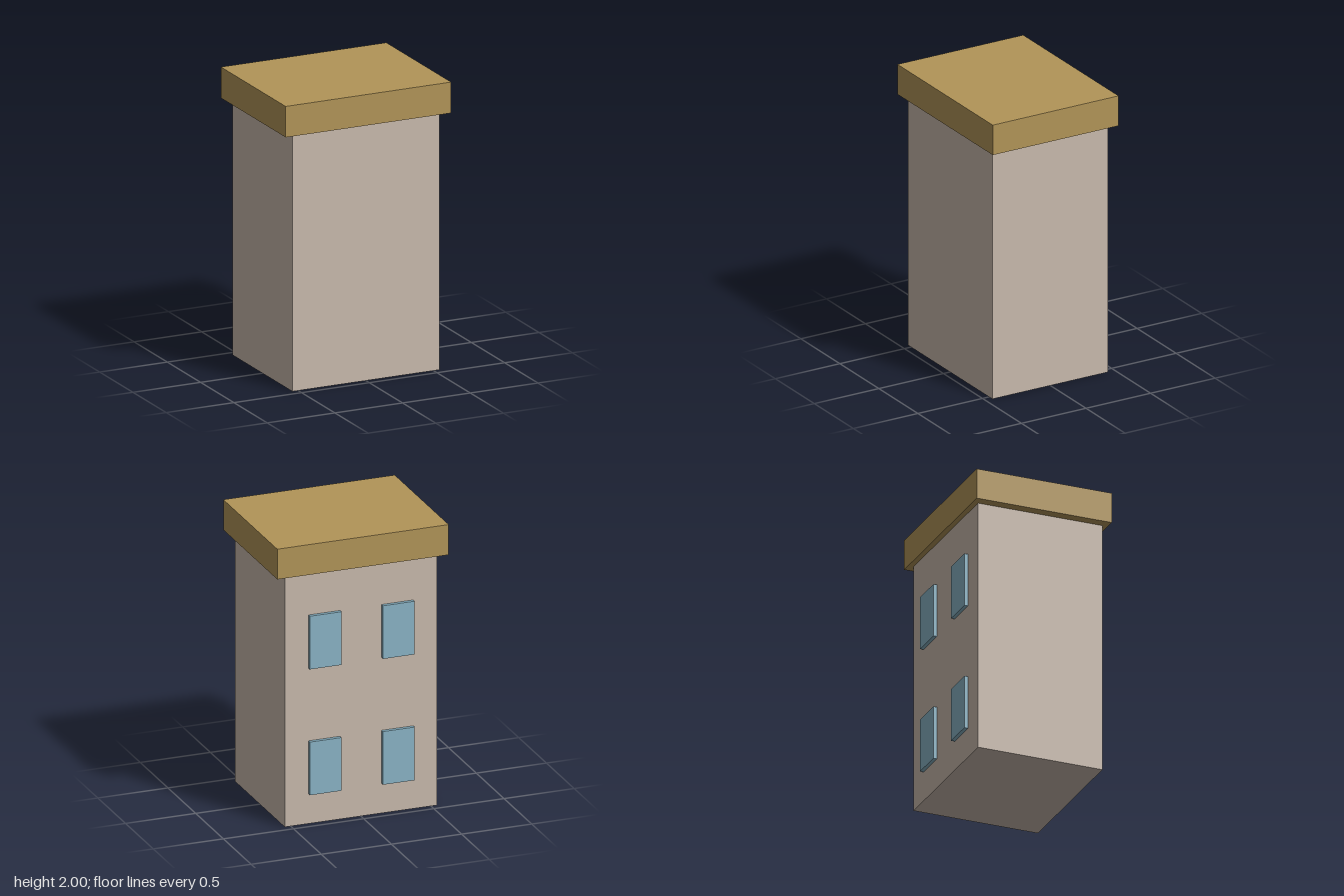
import * as THREE from 'three';

export function createModel() {
  const model = new THREE.Group();
  model.name = 'towerHouse';

  const material = (name, color) => {
    const m = new THREE.MeshStandardMaterial({ color });
    m.name = name;
    return m;
  };
  const wallPaint = material('wall beige', 0xc9baad);
  const roofPaint = material('roof ochre', 0xb29558);
  const glassPaint = material('window blue', 0x8ab4c6);

  const addBox = (name, paint, size, position) => {
    const mesh = new THREE.Mesh(new THREE.BoxGeometry(...size), paint);
    mesh.name = name;
    mesh.position.set(...position);
    model.add(mesh);
  };

  // Main block and the overhanging flat roof slab
  addBox('walls', wallPaint, [1.085, 1.785, 0.897], [0, 0.8925, 0]);
  addBox('roof', roofPaint, [1.222, 0.215, 0.974], [0, 1.8925, 0]);

  // Two storeys of paired windows standing proud of the back wall
  for (const y of [0.4, 1.295]) {
    for (const side of [-1, 1]) {
      addBox('window', glassPaint, [0.225, 0.378, 0.05], [side * 0.261, y, -0.449]);
    }
  }

  return model;
}
